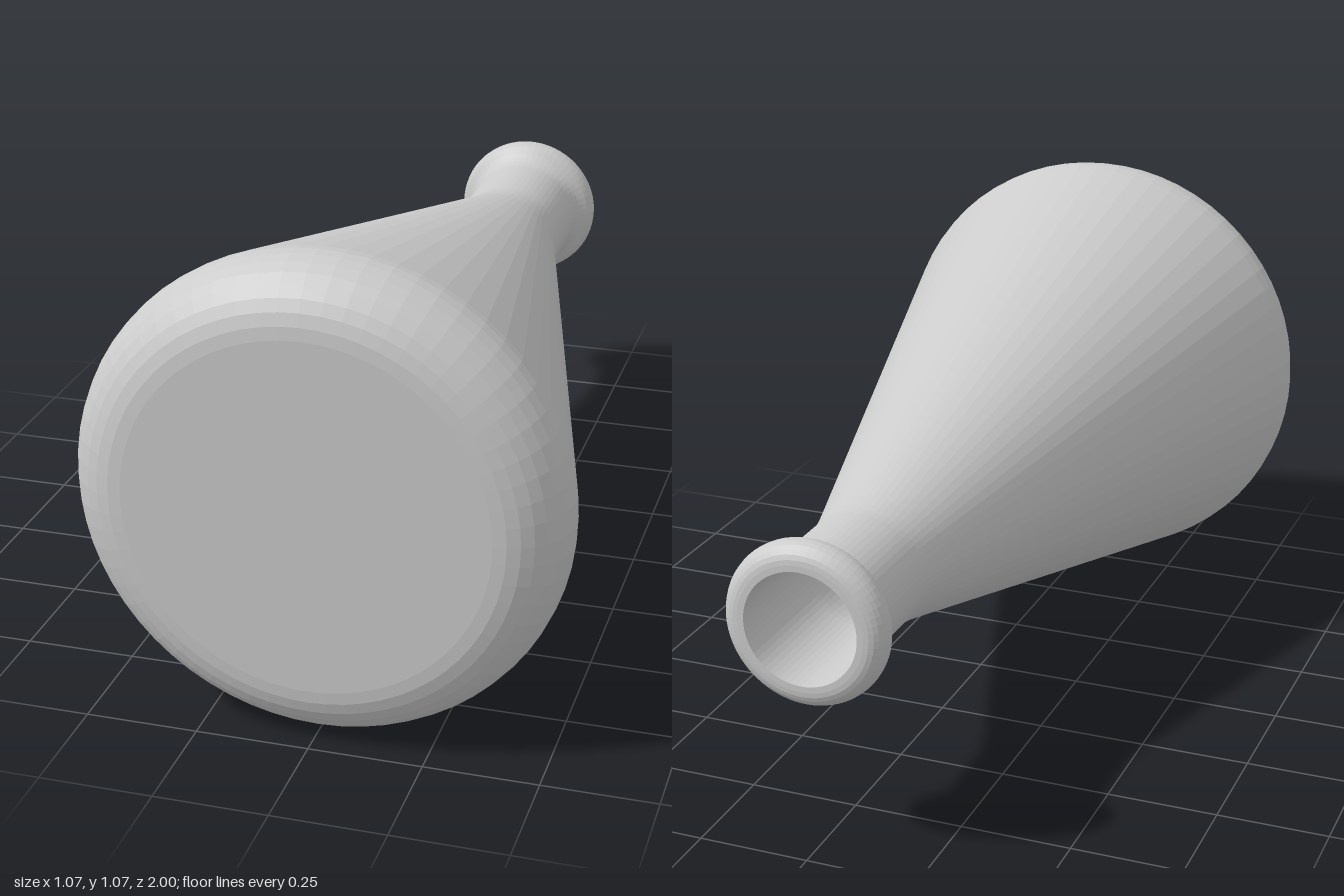
import * as THREE from 'three';

const SEGMENTS = 64;
const RADIUS = 0.535;
const WALL = 0.013;
const V = (r, h) => new THREE.Vector2(r, h);

// Points on a circular arc, angles in degrees
function arc(cx, cy, r, from, to, steps) {
  return Array.from({ length: steps + 1 }, (_, i) => {
    const a = THREE.MathUtils.degToRad(from + ((to - from) * i) / steps);
    return V(cx + r * Math.cos(a), cy + r * Math.sin(a));
  });
}

const bend = (a, b, c, steps) => new THREE.QuadraticBezierCurve(a, b, c).getPoints(steps);

// Flask wall from base to neck; inset moves it inwards for the inner surface
function wallProfile(inset, neckTop) {
  return [
    V(0, -1 + inset),
    ...arc(0.395, -0.86, 0.14 - inset, -90, 14.7, 9),
    ...bend(V(0.166 - inset, 0.56), V(0.14 - inset, 0.655), V(0.14 - inset, 0.7), 5),
    V(0.14 - inset, neckTop),
  ];
}

export function createModel() {
  const model = new THREE.Group();
  model.name = 'conicalFlask';
  const material = new THREE.MeshStandardMaterial({ color: 0xcccccc, flatShading: true });

  const addLathe = (name, profile) => {
    const mesh = new THREE.Mesh(new THREE.LatheGeometry(profile, SEGMENTS), material);
    mesh.name = name;
    model.add(mesh);
  };

  // Outer body: flat base, rounded heel, cone and neck
  addLathe('outerBody', wallProfile(0, 0.88));

  // Rounded lip with a small fillet into the neck and a flat top edge
  addLathe('lip', [
    ...bend(V(0.14, 0.88), V(0.142, 0.907), V(0.162, 0.9216), 4),
    ...arc(0.141, 0.958, 0.042, -60, 90, 10).slice(1),
    V(0.14 - WALL, 1),
  ]);

  // Inner wall, running from the mouth down to the inside of the base
  addLathe('innerWall', wallProfile(WALL, 1).reverse());

  // Lay the flask on its side with the base facing front
  model.rotation.x = -Math.PI / 2;
  model.position.y = RADIUS;

  const root = new THREE.Group();
  root.name = 'flask';
  root.add(model);
  return root;
}
